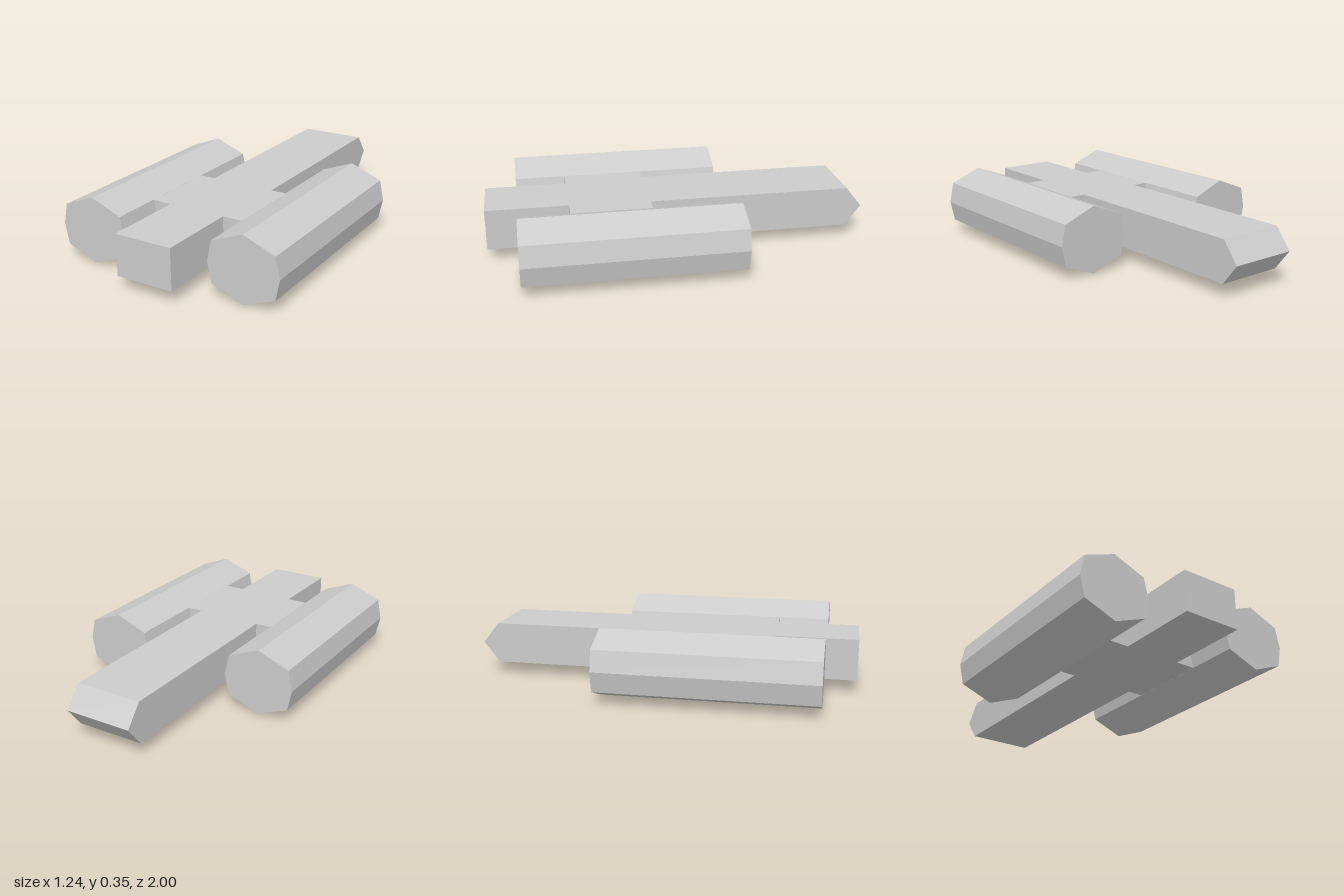
import * as THREE from 'three';

const material = new THREE.MeshStandardMaterial({ color: 0xcccccc, flatShading: true });

// Straight extrusion of a closed outline
function prism(points, depth) {
  const shape = new THREE.Shape(points.map(([x, y]) => new THREE.Vector2(x, y)));
  return new THREE.ExtrudeGeometry(shape, { depth, bevelEnabled: false });
}

function addPart(group, name, geometry) {
  const mesh = new THREE.Mesh(geometry, material);
  mesh.name = name;
  group.add(mesh);
  return mesh;
}

export function createModel() {
  const model = new THREE.Group();
  model.name = 'twinPodCraft';

  const bottom = 0.07, top = 0.285, middle = (bottom + top) / 2;
  const rearHalf = 0.177, frontHalf = 0.155, bridgeHalf = 0.262, taperZ = -0.915;

  // Hull: plan outline of the long bar and the bridge, as [x, -z]
  const side = [
    [frontHalf, -1], [frontHalf, -0.572], [bridgeHalf, -0.572],
    [bridgeHalf, -0.15], [rearHalf, -0.15], [rearHalf, -taperZ],
  ];
  const mirrored = side.map(([x, y]) => [-x, y]).reverse();
  const hull = prism([...side, ...mirrored], top - bottom);
  hull.rotateX(-Math.PI / 2).translate(0, bottom, 0);
  addPart(model, 'hull', hull);

  // Wedge closing the rear end, outlined as [z, y]
  const wedge = prism([[taperZ, bottom], [taperZ, top], [-1, middle]], rearHalf * 2);
  wedge.rotateY(-Math.PI / 2).translate(rearHalf, 0, 0);
  addPart(model, 'rearWedge', wedge);

  // Eight-sided side pods
  const octagon = [
    [0.191, 0], [0.168, 0.108], [0, 0.174], [-0.168, 0.108],
    [-0.191, 0], [-0.168, -0.108], [0, -0.174], [0.168, -0.108],
  ];
  for (const [name, sign] of [['leftPod', 1], ['rightPod', -1]]) {
    const pod = addPart(model, name, prism(octagon, 1.113));
    pod.position.set(sign * 0.43, middle, -0.276);
  }

  return model;
}
